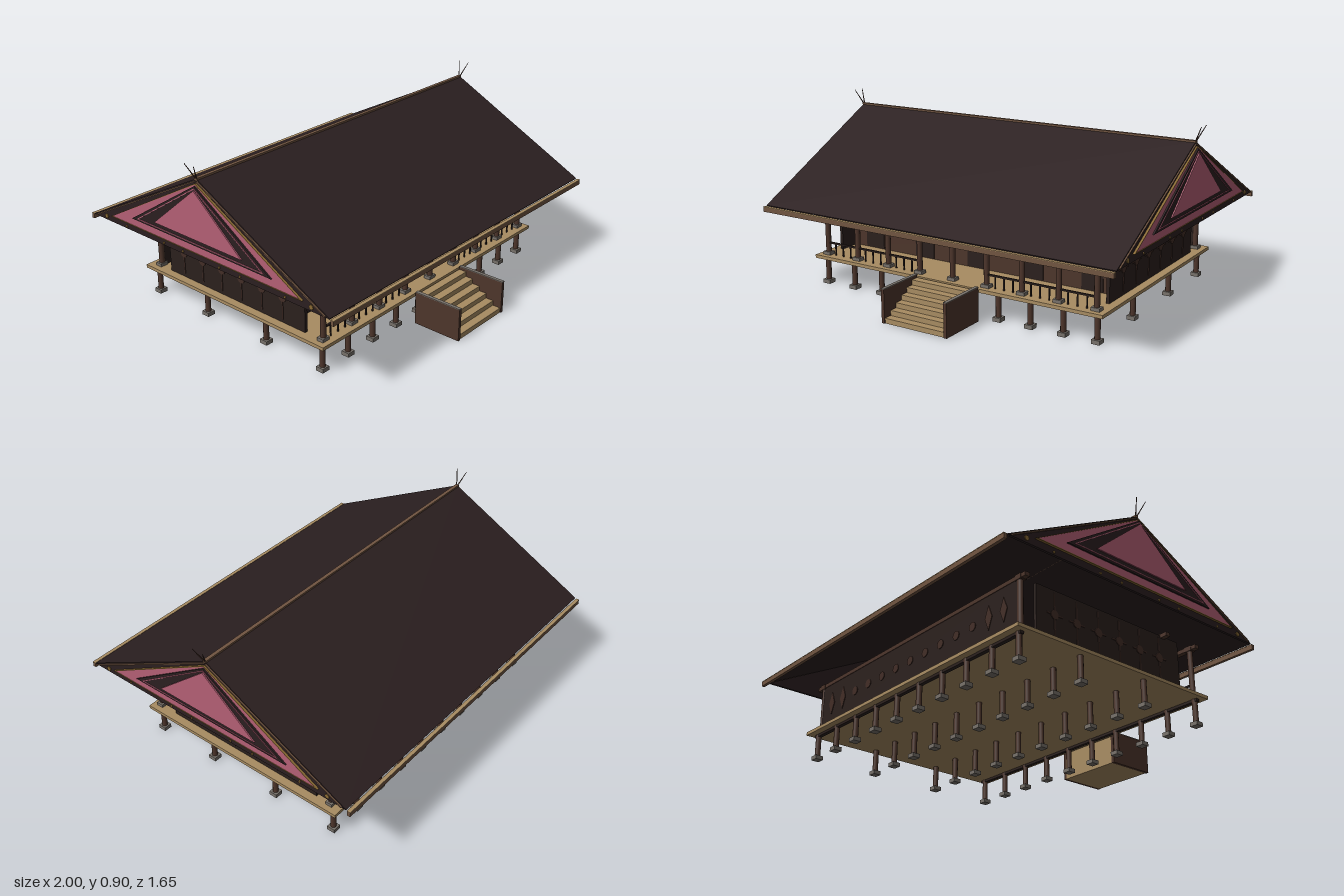
import * as THREE from 'three';

const mat = (name, color) => {
  const m = new THREE.MeshStandardMaterial({ color });
  m.name = name;
  return m;
};

export function createModel() {
  const root = new THREE.Group();
  root.name = 'stiltHouse';
  const M = {
    roof: mat('dark roof', 0x2b1f20),
    wall: mat('dark timber', 0x2b201d),
    brown: mat('brown timber', 0x4d352b),
    carve: mat('carving brown', 0x422d26),
    tan: mat('pale planks', 0xa88c62),
    trim: mat('trim wood', 0x715541),
    pink: mat('rose panel', 0xb35f74),
    stone: mat('stone footing', 0x77716a),
    gold: mat('old gold', 0x8a6a34),
  };
  const add = (name, geo, m, x = 0, y = 0, z = 0, parent = root) => {
    const mesh = new THREE.Mesh(geo, m);
    mesh.name = name;
    mesh.position.set(x, y, z);
    parent.add(mesh);
    return mesh;
  };
  // box given by its min and max on each axis
  const box = (name, m, x0, x1, y0, y1, z0, z1, parent = root) =>
    add(name, new THREE.BoxGeometry(x1 - x0, y1 - y0, z1 - z0), m,
      (x0 + x1) / 2, (y0 + y1) / 2, (z0 + z1) / 2, parent);
  const group = (name) => {
    const g = new THREE.Group();
    g.name = name;
    root.add(g);
    return g;
  };
  const RZ = -0.035; // depth of the ridge

  // raised floor and its edge beams
  box('floor', M.tan, -0.815, 0.815, 0.135, 0.152, -0.625, 0.56);
  for (const z of [0.515, -0.58]) box('floorBeam', M.wall, -0.79, 0.79, 0.122, 0.135, z - 0.01, z + 0.01);

  // four rows of stilts on stone feet
  const stilts = group('stilts');
  const stiltGeo = new THREE.CylinderGeometry(0.014, 0.014, 0.12, 10);
  const footGeo = new THREE.BoxGeometry(0.042, 0.02, 0.042);
  for (const z of [0.515, 0.165, -0.23, -0.58]) {
    for (let i = 0; i < 10; i++) {
      const x = -0.77 + i * 0.171;
      add('stilt', stiltGeo, M.brown, x, 0.078, z, stilts);
      add('foot', footGeo, M.stone, x, 0.01, z, stilts);
    }
  }

  // separate wall panels: sides, back, and a front wall set behind the veranda
  const walls = group('walls');
  for (const s of [-1, 1]) box('sideWall', M.wall, s * 0.765 - 0.008, s * 0.765 + 0.008, 0.152, 0.4, -0.485, 0.415, walls);
  box('backWall', M.wall, -0.765, 0.765, 0.152, 0.4, -0.575, -0.555, walls);
  box('frontWall', M.brown, -0.757, 0.757, 0.152, 0.4, 0.29, 0.305, walls);
  for (let i = -2; i <= 2; i++) {
    const x = i * 0.315;
    box('doorway', M.wall, x - 0.056, x + 0.056, 0.155, 0.368, 0.305, 0.309, walls);
    box('lintel', M.tan, x - 0.056, x + 0.056, 0.368, 0.376, 0.305, 0.312, walls);
  }

  // carved medallions on the side and back walls
  const carvings = group('wallCarvings');
  const disc = new THREE.CylinderGeometry(0.022, 0.022, 0.005, 16);
  const diamond = new THREE.CylinderGeometry(0.04, 0.04, 0.005, 4);
  for (const s of [-1, 1]) {
    const x = s * 0.774;
    for (let i = 0; i < 6; i++) {
      const z = 0.28 - i * 0.132;
      add('medallion', disc, M.carve, x, 0.28, z, carvings).rotation.z = Math.PI / 2;
      box('medallionStem', M.carve, x - 0.002, x + 0.002, 0.17, 0.385, z - 0.003, z + 0.003, carvings);
      box('medallionArm', M.carve, x - 0.002, x + 0.002, 0.277, 0.283, z - 0.045, z + 0.045, carvings);
    }
    for (const dx of [0.57, 0.67]) {
      const d = add('diamond', diamond, M.carve, s * dx, 0.28, -0.576, carvings);
      d.rotation.x = Math.PI / 2;
      d.scale.set(0.6, 1, 1.5);
    }
  }
  for (let i = -4; i <= 4; i++)
    add('backMedallion', disc, M.carve, i * 0.115, 0.28, -0.576, carvings).rotation.x = Math.PI / 2;

  // veranda posts, back corner posts and top beams
  const posts = group('verandaPosts');
  const postGeo = new THREE.CylinderGeometry(0.014, 0.014, 0.25, 10);
  const post = (x, z) => {
    add('post', postGeo, M.brown, x, 0.277, z, posts);
    box('postBase', M.stone, x - 0.022, x + 0.022, 0.152, 0.168, z - 0.018, z + 0.018, posts);
    box('postCapital', M.brown, x - 0.02, x + 0.02, 0.385, 0.41, z - 0.016, z + 0.016, posts);
  };
  for (let i = -4; i <= 4; i++) post(i * 0.191, 0.515);
  for (const x of [-0.764, 0.764]) post(x, -0.565);
  for (const z of [0.515, 0.31, -0.565])
    box('topBeam', M.brown, -0.81, 0.81, 0.388, 0.408, z - 0.013, z + 0.013, posts);

  // veranda railing on both sides of the stairs
  const railing = group('railing');
  for (const s of [-1, 1]) {
    const x0 = s < 0 ? -0.764 : 0.191;
    box('handrail', M.wall, x0, x0 + 0.573, 0.21, 0.218, 0.511, 0.521, railing);
    for (let i = 0; i <= 12; i++) {
      const x = x0 + i * 0.04775;
      box('baluster', M.wall, x - 0.003, x + 0.003, 0.152, 0.21, 0.513, 0.519, railing);
    }
  }

  // front stairs rising towards the floor between solid side boards
  const stairs = group('stairs');
  const N = 6, tread = 0.248 / N;
  for (let i = 0; i < N; i++)
    box('step', M.tan, -0.166, 0.166, 0, 0.15 * (i + 1) / N, 0.82 - tread * (i + 1), 0.82 - tread * i, stairs);
  for (const x of [-0.174, 0.174]) {
    box('sideBoard', M.brown, x - 0.008, x + 0.008, 0, 0.164, 0.572, 0.825, stairs);
    box('sideBoardCap', M.stone, x - 0.009, x + 0.009, 0.164, 0.168, 0.572, 0.825, stairs);
  }

  // roof slopes, eave boards and ridge cap
  const run = 0.768, rise = 0.396, len = Math.hypot(run, rise), pitch = Math.atan2(rise, run);
  for (const s of [-1, 1]) {
    const slope = add('roofSlope', new THREE.BoxGeometry(1.924, 0.006, len), M.roof, 0, 0.822 - rise / 2, RZ + s * run / 2);
    slope.rotation.x = s * pitch;
    const z = RZ + s * 0.783;
    box('eaveBoard', M.trim, -0.963, 0.963, 0.4, 0.423, z - 0.008, z + 0.008);
    box('eaveBoardCap', M.tan, -0.963, 0.963, 0.423, 0.426, z - 0.009, z + 0.009);
  }
  box('ridgeCap', M.trim, -0.965, 0.965, 0.818, 0.83, RZ - 0.009, RZ + 0.009);

  // gable ends: stacked triangular panels, each a little further out
  const tri = (w, y0, y1) => [[-w, y0], [w, y0], [0, y1]].map(([x, y]) => new THREE.Vector2(x, y));
  const panels = [
    ['gableBoard', M.roof, tri(0.757, 0.425, 0.82), null, 0.95, 0.012],
    ['outerRosePanel', M.pink, tri(0.62, 0.462, 0.803), null, 0.962, 0.009],
    ['roseRim', M.gold, tri(0.625, 0.46, 0.806), tri(0.614, 0.464, 0.801), 0.962, 0.011],
    ['innerDarkPanel', M.roof, tri(0.455, 0.503, 0.795), null, 0.971, 0.007],
    ['roseLine', M.pink, tri(0.415, 0.513, 0.785), tri(0.402, 0.517, 0.78), 0.978, 0.003],
    ['innerRosePanel', M.pink, tri(0.285, 0.537, 0.775), null, 0.978, 0.006],
  ];
  for (const s of [-1, 1]) {
    const gable = group(s > 0 ? 'leftGable' : 'rightGable');
    for (const [name, m, pts, hole, x, depth] of panels) {
      const shape = new THREE.Shape(pts);
      if (hole) shape.holes.push(new THREE.Path(hole));
      const geo = new THREE.ExtrudeGeometry(shape, { depth, bevelEnabled: false });
      geo.rotateY(Math.PI / 2);
      add(name, geo, m, s > 0 ? x : -x - depth, 0, RZ, gable);
    }
    for (const d of [-1, 1]) {
      // slim bargeboard along each slope
      const board = add('bargeboard', new THREE.BoxGeometry(0.012, 0.006, len - 0.03), M.trim,
        s * 0.963, 0.82 - rise / 2, RZ + d * (run / 2 - 0.008), gable);
      board.rotation.x = d * pitch;
      // gilt bosses
      for (const [z, y, r] of [[0.67, 0.445, 0.012], [0.52, 0.437, 0.006], [0.25, 0.437, 0.006], [0.12, 0.437, 0.006]])
        add('giltBoss', new THREE.CylinderGeometry(r, r, 0.006, 8), M.gold, s * 0.963, y, RZ + d * z, gable)
          .rotation.z = Math.PI / 2;
      // crossed roof horn
      const a = new THREE.Vector3(s * 0.958, 0.818, RZ), b = new THREE.Vector3(s * 0.998, 0.9, RZ + d * 0.03);
      const horn = add('roofHorn', new THREE.CylinderGeometry(0.0015, 0.0035, a.distanceTo(b), 6), M.brown, 0, 0, 0, gable);
      horn.position.copy(a).lerp(b, 0.5);
      horn.quaternion.setFromUnitVectors(new THREE.Vector3(0, 1, 0), b.clone().sub(a).normalize());
    }
  }
  return root;
}
